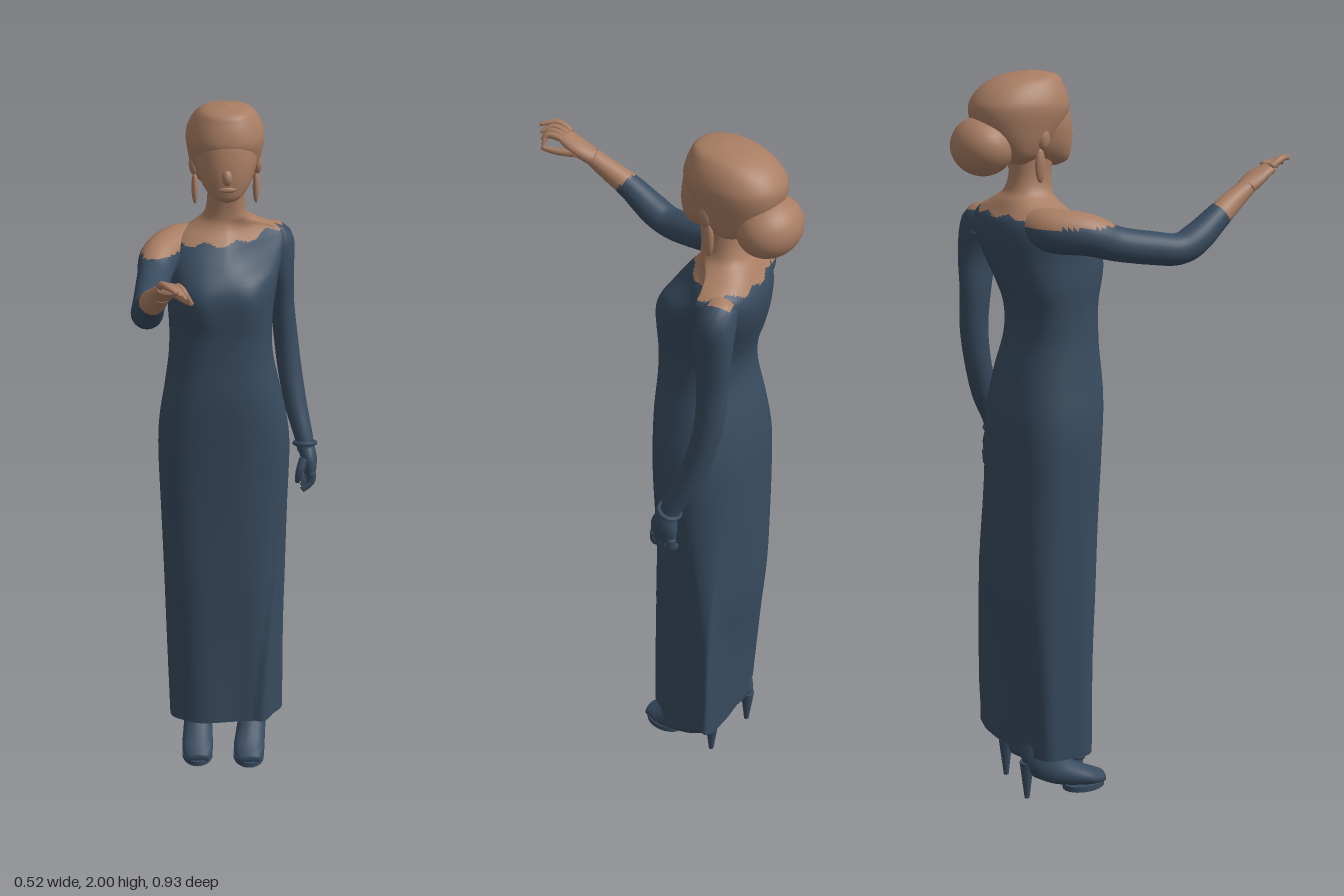
import * as THREE from 'three';

const V = (x, y, z) => new THREE.Vector3(x, y, z);
const bump = (x, c, w) => Math.exp(-(((x - c) / w) ** 2));
const step = THREE.MathUtils.smoothstep;

// Catmull-Rom resampling of rows of numbers
function resample(rows, per) {
  const out = [];
  const at = i => rows[Math.max(0, Math.min(rows.length - 1, i))];
  for (let i = 0; i < rows.length - 1; i++) {
    for (let k = 0; k < per; k++) {
      const t = k / per;
      out.push(rows[i].map((b, c) => {
        const a = at(i - 1)[c], d = at(i + 1)[c], e = at(i + 2)[c];
        return b + 0.5 * t * (d - a + t * (2 * a - 5 * b + 4 * d - e + t * (3 * (b - d) + e - a)));
      }));
    }
  }
  out.push(rows[rows.length - 1]);
  return out;
}

// Skin over rings of points; isSkin(centroid) picks the second material group
function skinRings(rings, isSkin) {
  const n = rings[0].length;
  const flat = rings.flat();
  const first = [], second = [];
  for (let i = 0; i < rings.length - 1; i++) {
    for (let j = 0; j < n; j++) {
      const a = i * n + j, c = i * n + (j + 1) % n, b = a + n, d = c + n;
      for (const tri of [[a, b, c], [c, b, d]]) {
        const mid = V(0, 0, 0);
        tri.forEach(k => mid.addScaledVector(flat[k], 1 / 3));
        (isSkin && isSkin(mid) ? second : first).push(...tri);
      }
    }
  }
  const g = new THREE.BufferGeometry().setFromPoints(flat);
  g.setIndex(first.concat(second));
  g.addGroup(0, first.length, 0);
  g.addGroup(first.length, second.length, 1);
  g.computeVertexNormals();
  return g;
}

// Rounded limb through sections [x, y, z, width radius, thickness radius]
function limbGeometry(sections, { ref = V(0, 0, 1), seg = 16, per = 5, isSkin } = {}) {
  const rows = resample(sections.map(s => [s[0], s[1], s[2], s[3], s[4] ?? s[3]]), per);
  const first = rows[0], last = rows[rows.length - 1];
  const all = [[...first.slice(0, 3), 0.0005, 0.0005], ...rows, [...last.slice(0, 3), 0.0005, 0.0005]];
  const centre = i => V(...rows[Math.max(0, Math.min(rows.length - 1, i))].slice(0, 3));
  const rings = all.map((s, r) => {
    const T = centre(r).sub(centre(r - 2)).normalize();
    const side = T.clone().cross(ref).normalize(), up = side.clone().cross(T);
    return Array.from({ length: seg }, (_, j) => {
      const a = j / seg * Math.PI * 2;
      return V(s[0], s[1], s[2]).addScaledVector(side, Math.cos(a) * s[3]).addScaledVector(up, Math.sin(a) * s[4]);
    });
  });
  return skinRings(rings, isSkin);
}

// Upright form through sections [y, left x, right x, front z, back z]
function uprightRings(sections, seg, per, power, shape = p => p) {
  return resample(sections, per).map(([y, x0, x1, zf, zb]) => Array.from({ length: seg }, (_, j) => {
    const a = j / seg * Math.PI * 2, c = Math.cos(a), s = Math.sin(a);
    const f = v => Math.sign(v) * Math.abs(v) ** power;
    return shape(V((x0 + x1) / 2 + f(c) * (x1 - x0) / 2, y, (zf + zb) / 2 + f(s) * (zf - zb) / 2), c, s, a);
  }));
}

export function createModel() {
  const model = new THREE.Group();
  const navy = new THREE.MeshStandardMaterial({ color: 0x384b5f, side: THREE.DoubleSide });
  navy.name = 'navy cloth';
  const skin = new THREE.MeshStandardMaterial({ color: 0xa87d63, side: THREE.DoubleSide });
  skin.name = 'warm skin and hair';
  const add = (name, geometry, material, parent = model) => {
    const m = new THREE.Mesh(geometry, material);
    m.name = name;
    parent.add(m);
    return m;
  };
  const ball = (name, p, r) => {
    const m = add(name, new THREE.SphereGeometry(1, 28, 20), skin);
    m.position.set(...p);
    m.scale.set(...r);
    return m;
  };

  // Long dress running up into bare shoulders and neck
  const body = [
    [0.13, -0.178, 0.16, -0.12, -0.335], [0.4, -0.185, 0.16, -0.118, -0.35],
    [0.6, -0.19, 0.165, -0.11, -0.365], [0.8, -0.195, 0.17, -0.105, -0.365],
    [1.0, -0.2, 0.175, -0.095, -0.36], [1.1, -0.195, 0.166, -0.088, -0.355],
    [1.2, -0.18, 0.145, -0.082, -0.338], [1.3, -0.167, 0.124, -0.085, -0.312],
    [1.38, -0.164, 0.12, -0.085, -0.312], [1.45, -0.167, 0.125, -0.081, -0.335],
    [1.52, -0.165, 0.137, -0.086, -0.36], [1.58, -0.165, 0.15, -0.12, -0.37],
    [1.62, -0.155, 0.155, -0.15, -0.365], [1.645, -0.13, 0.132, -0.17, -0.35],
    [1.67, -0.09, 0.085, -0.187, -0.333], [1.695, -0.065, 0.055, -0.194, -0.312],
    [1.74, -0.056, 0.046, -0.192, -0.3], [1.81, -0.056, 0.046, -0.18, -0.3],
  ];
  const rings = uprightRings(body, 96, 6, 0.84, (p, c, s, a) => {
    const y = p.y;
    // bust, shoulder turn, left shoulder falling away in front, rear hem slope
    if (s > 0) p.z += 0.012 * s * bump(y, 1.49, 0.06) * (bump(p.x, -0.09, 0.05) + bump(p.x, 0.065, 0.05));
    const shoulder = 1 - step(y, 1.64, 1.7);
    p.z -= 0.14 * p.x * step(y, 1.4, 1.6) * shoulder;
    if (c > 0 && s > 0) p.z -= 0.1 * c * s * step(y, 1.54, 1.62) * shoulder;
    if (p.x > 0.09) p.y += (p.x - 0.09) * 0.6 * step(-p.z, 0.2, 0.3) * (1 - step(y, 0.13, 0.4));
    // wrapped front edge, soft pleats, fuller right hip and squared rear corner in the skirt
    const low = 1 - step(y, 0.3, 0.95);
    const edge = 1.07 - 0.45 * step(y, 0.1, 0.85);
    const wrap = step(a, edge - 0.5, edge - 0.03) * (1 - step(a, edge - 0.03, edge + 0.05));
    const k = 0.011 * low * wrap + 0.004 * low * Math.sin(a * 7 + 1);
    p.x += c * k;
    p.z += s * k;
    if (c < 0 && s > 0) {
      const hip = -0.024 * c * s * (1 - step(y, 1.1, 1.3));
      p.x -= hip * s;
      p.z -= hip * c;
    }
    if (c > 0 && s < 0) {
      const corner = -0.07 * c * s * low;
      p.x = Math.max(p.x, Math.min(p.x + corner, 0.163));
      p.z = Math.min(p.z, Math.max(p.z - corner, -0.345));
    }
    return p;
  });
  const neckline = p => 1.634 + 0.006 * Math.sin(p.x * 75) + 0.007 * step(p.x, 0.02, 0.1) * step(-p.z, 0.2, 0.3);
  add('dressAndShoulders', skinRings(rings, p => p.y > neckline(p)), [navy, skin]);

  // Raised right arm: sleeve with bare shoulder and forearm
  add('raisedArm', limbGeometry([
    [-0.085, 1.605, -0.275, 0.052], [-0.14, 1.602, -0.25, 0.058], [-0.187, 1.594, -0.175, 0.055],
    [-0.204, 1.567, -0.1, 0.046], [-0.215, 1.548, 0, 0.044], [-0.224, 1.54, 0.075, 0.042],
    [-0.222, 1.562, 0.13, 0.042], [-0.212, 1.612, 0.2, 0.035], [-0.197, 1.65, 0.26, 0.029],
    [-0.186, 1.682, 0.31, 0.027, 0.022],
  ], { ref: V(0, 1, 0), seg: 28, per: 8, isSkin: p => p.z + (p.y - 1.63) * 0.8 > 0.207 || (p.z < -0.105 && p.y > 1.617) }),
  [navy, skin]);

  // Raised hand
  const raisedHand = new THREE.Group();
  raisedHand.name = 'raisedHand';
  model.add(raisedHand);
  add('raisedPalm', limbGeometry([
    [-0.188, 1.677, 0.3, 0.028, 0.022], [-0.174, 1.702, 0.345, 0.034, 0.02], [-0.17, 1.725, 0.39, 0.028, 0.014],
  ], { ref: V(0, 1, 0) }), skin, raisedHand);
  for (let i = 0; i < 4; i++) {
    add('raisedFinger', limbGeometry([
      [-0.19 + 0.014 * i, 1.727, 0.38, 0.01], [-0.183 + 0.016 * i, 1.748 - 0.006 * i, 0.42, 0.009],
      [-0.152 + 0.012 * i, 1.742 - 0.014 * i, 0.46 - 0.013 * i, 0.005],
    ], { ref: V(0, 1, 0), seg: 8 }), skin, raisedHand);
  }
  add('raisedThumb', limbGeometry([
    [-0.155, 1.695, 0.335, 0.012], [-0.13, 1.695, 0.385, 0.01], [-0.115, 1.7, 0.425, 0.006],
  ], { ref: V(0, 1, 0), seg: 8 }), skin, raisedHand);

  // Lowered left arm
  add('loweredArm', limbGeometry([
    [0.09, 1.6, -0.315, 0.042], [0.135, 1.588, -0.328, 0.051], [0.153, 1.5, -0.33, 0.036, 0.054],
    [0.157, 1.4, -0.335, 0.034, 0.044], [0.168, 1.3, -0.336, 0.034, 0.04], [0.18, 1.2, -0.322, 0.034, 0.037],
    [0.197, 1.1, -0.295, 0.032, 0.036], [0.217, 1.02, -0.262, 0.027, 0.03], [0.225, 0.975, -0.25, 0.024, 0.028],
  ], { seg: 20, isSkin: p => p.y > 1.628 && p.x < 0.145 }), [navy, skin]);
  const bracelet = add('bracelet', new THREE.TorusGeometry(0.029, 0.007, 8, 24), navy);
  bracelet.position.set(0.222, 0.995, -0.253);
  bracelet.rotation.x = Math.PI / 2 - 0.3;

  // Lowered hand
  const loweredHand = new THREE.Group();
  loweredHand.name = 'loweredHand';
  model.add(loweredHand);
  add('loweredPalm', limbGeometry([
    [0.225, 0.985, -0.252, 0.024, 0.028], [0.234, 0.95, -0.245, 0.023, 0.04], [0.237, 0.91, -0.245, 0.018, 0.037],
  ]), navy, loweredHand);
  for (let i = 0; i < 4; i++) {
    const z = -0.218 - 0.018 * i;
    add('loweredFinger', limbGeometry([
      [0.24, 0.92, z, 0.013], [0.238, 0.887, z, 0.012], [0.213, 0.863 + 0.004 * i, z + 0.004, 0.009],
    ], { seg: 8 }), navy, loweredHand);
  }
  add('loweredThumb', limbGeometry([
    [0.218, 0.96, -0.222, 0.014], [0.205, 0.925, -0.208, 0.012], [0.199, 0.89, -0.212, 0.007],
  ], { seg: 8 }), navy, loweredHand);

  // Face and features
  add('face', skinRings(uprightRings([
    [1.752, -0.02, 0.01, -0.165, -0.2], [1.765, -0.045, 0.033, -0.142, -0.235], [1.79, -0.068, 0.056, -0.135, -0.29],
    [1.83, -0.085, 0.073, -0.133, -0.33], [1.88, -0.092, 0.08, -0.138, -0.35], [1.93, -0.08, 0.07, -0.155, -0.35],
    [1.97, -0.03, 0.02, -0.22, -0.28],
  ], 32, 4, 0.9)), skin);
  ball('nose', [-0.006, 1.83, -0.138], [0.014, 0.022, 0.016]);
  ball('lips', [-0.006, 1.797, -0.139], [0.024, 0.009, 0.008]);

  // Swept-back hair with low bun
  add('hair', skinRings(uprightRings([
    [1.765, -0.05, 0.04, -0.27, -0.31], [1.785, -0.084, 0.072, -0.235, -0.345], [1.82, -0.099, 0.086, -0.2, -0.375],
    [1.86, -0.107, 0.094, -0.165, -0.4], [1.9, -0.112, 0.099, -0.145, -0.41], [1.93, -0.108, 0.096, -0.146, -0.403],
    [1.965, -0.09, 0.08, -0.158, -0.37], [1.989, -0.062, 0.054, -0.176, -0.315], [2, -0.002, -0.001, -0.235, -0.237],
  ], 40, 5, 0.9)), skin);
  ball('hairBun', [-0.004, 1.813, -0.382], [0.095, 0.077, 0.08]);

  // Ears and drop earrings
  for (const s of [-1, 1]) {
    ball('ear', [-0.006 + s * 0.086, 1.835, -0.25], [0.013, 0.03, 0.018]);
    ball('earring', [-0.006 + s * 0.083, 1.765, -0.258], [0.009, 0.045, 0.014]);
  }

  // Legs in high-heeled shoes
  for (const [x, toe, dz] of [[-0.092, -0.097, -0.008], [0.072, 0.058, 0.006]]) {
    const shoe = new THREE.Group();
    shoe.name = x < 0 ? 'rightShoe' : 'leftShoe';
    shoe.position.z = dz;
    model.add(shoe);
    add('ankleAndShoe', limbGeometry([
      [x, 0.35, -0.25, 0.042], [x, 0.19, -0.275, 0.036], [x, 0.12, -0.274, 0.039, 0.052],
      [x, 0.077, -0.235, 0.042, 0.045], [(x + toe) / 2, 0.05, -0.18, 0.045, 0.036],
      [toe, 0.031, -0.125, 0.046, 0.026], [toe, 0.02, -0.082, 0.032, 0.016],
    ], { ref: V(0, 0.3, 1) }), navy, shoe);
    const sole = add('sole', new THREE.CylinderGeometry(1, 1, 0.016, 28), navy, shoe);
    sole.position.set(toe, 0.008, -0.137);
    sole.scale.set(0.046, 1, 0.062);
    const heel = add('stilettoHeel', new THREE.CylinderGeometry(0.02, 0.007, 0.11, 12), navy, shoe);
    heel.position.set(x, 0.055, -0.312);
  }
  return model;
}
